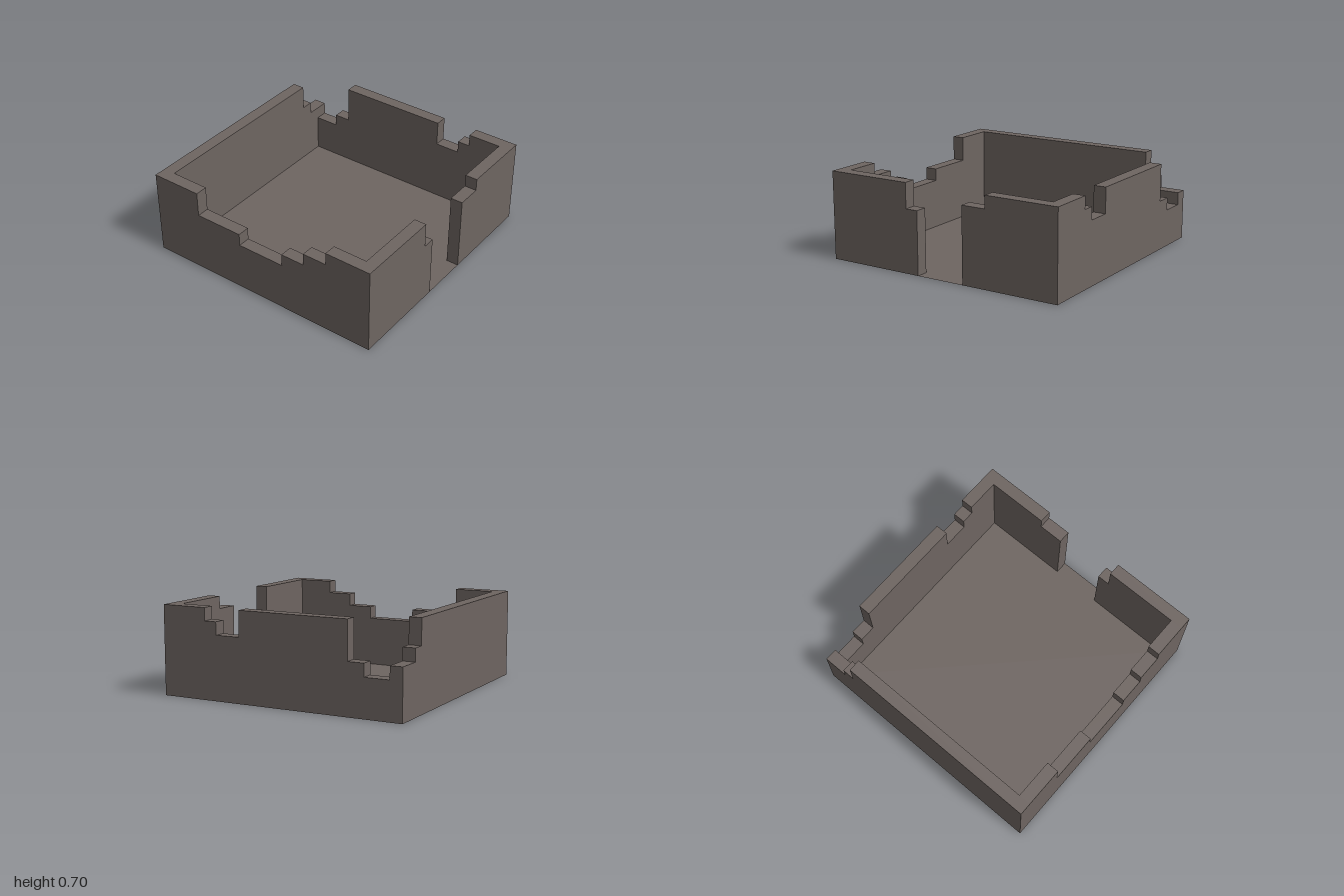
import * as THREE from 'three';

const THICK = 0.1;

// Stepped wall outline: start position, then [end, height] for each step
function wallGeometry(start, steps) {
  const shape = new THREE.Shape();
  shape.moveTo(start, 0);
  let u = start;
  for (const [end, height] of steps) {
    shape.lineTo(u, height);
    shape.lineTo(end, height);
    u = end;
  }
  shape.lineTo(u, 0);
  shape.closePath();
  return new THREE.ExtrudeGeometry(shape, { depth: THICK, bevelEnabled: false });
}

export function createModel() {
  const model = new THREE.Group();
  model.name = 'ruinedRoom';
  const stone = new THREE.MeshStandardMaterial({ color: 0x6e6561, flatShading: true });
  const floorStone = stone.clone();
  floorStone.side = THREE.DoubleSide;

  const add = (name, geometry, material = stone) => {
    const mesh = new THREE.Mesh(geometry, material);
    mesh.name = name;
    model.add(mesh);
  };
  // Walls along x, with their back face at z
  const wallAlongX = (name, z, start, steps) =>
    add(name, wallGeometry(start, steps).translate(0, 0, z));
  // Walls along z, with their +x face at x
  const wallAlongZ = (name, x, start, steps) =>
    add(name, wallGeometry(start, steps).rotateY(-Math.PI / 2).translate(x, 0, 0));

  // Thin floor sheet
  add('floor', new THREE.PlaneGeometry(2, 2).rotateX(-Math.PI / 2), floorStone);

  // Front wall, broken either side of the doorway
  wallAlongX('frontWallRight', 0.9, -1, [[-0.3, 0.7], [-0.2, 0.5]]);
  wallAlongX('frontWallLeft', 0.9, 0.2, [[0.4, 0.6], [1, 0.7]]);

  // Back wall, crumbling at one corner
  wallAlongX('backWall', -1, -1, [[0.7, 0.7], [0.8, 0.5], [1, 0.4]]);

  // Side walls between front and back
  wallAlongZ('leftWall', 1, -0.9,
    [[-0.7, 0.3], [-0.57, 0.4], [0.33, 0.7], [0.53, 0.5], [0.63, 0.6], [0.9, 0.7]]);
  wallAlongZ('rightWall', -0.9, -0.9,
    [[-0.58, 0.7], [-0.18, 0.5], [0.22, 0.4], [0.42, 0.5], [0.62, 0.6], [0.9, 0.7]]);

  return model;
}
